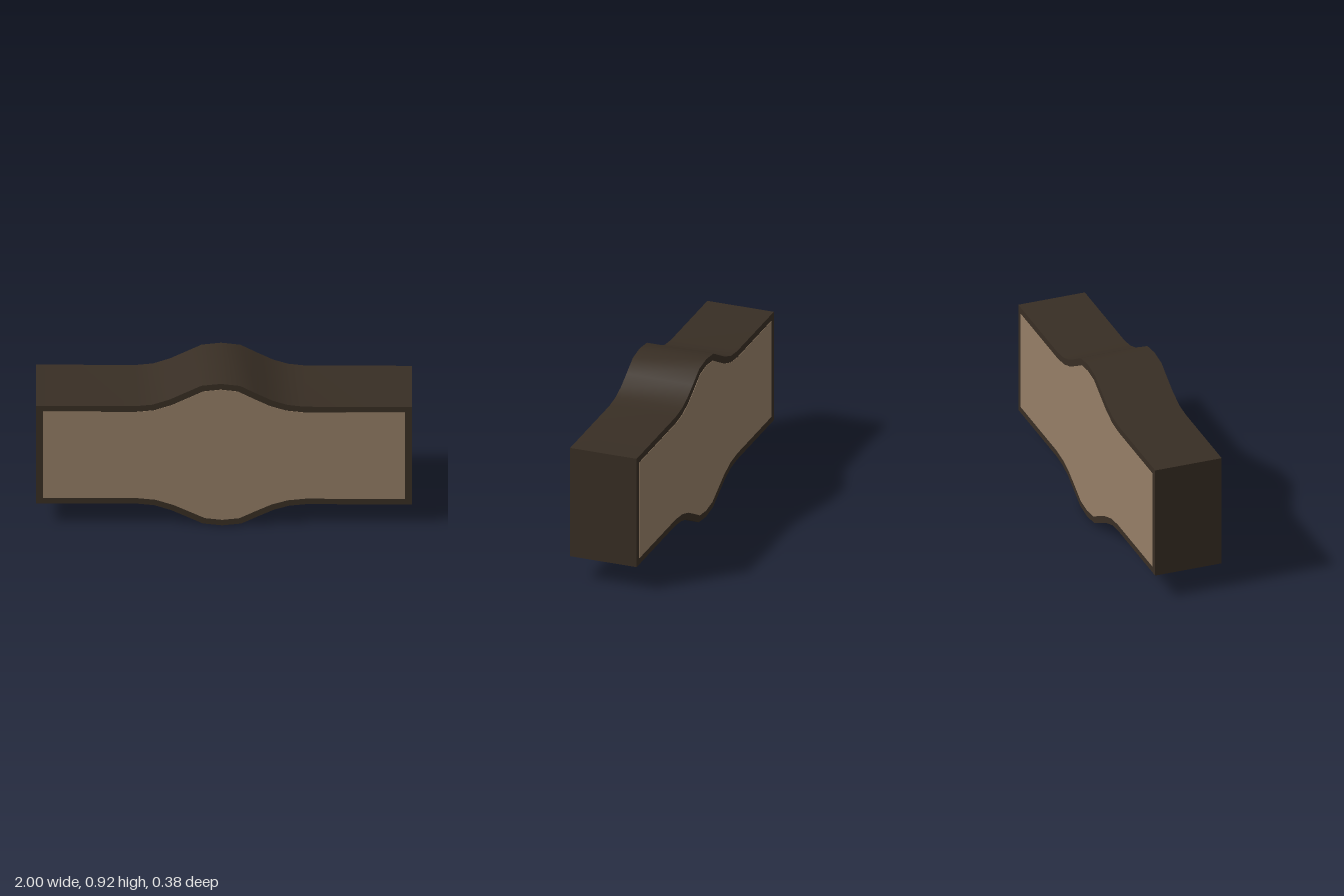
import * as THREE from 'three';
import { toCreasedNormals } from 'three/addons/utils/BufferGeometryUtils.js';

const DEPTH = 0.38, BORDER = 0.037, TOP = 0.775, BOTTOM = 0.14;

// Bulge in the middle of the long edges: x and rise
const BULGE = [
  [-0.47, 0], [-0.38, 0.01], [-0.29, 0.043], [-0.2, 0.091], [-0.12, 0.134], [-0.016, 0.147],
  [0.086, 0.134], [0.18, 0.081], [0.26, 0.038], [0.34, 0.011], [0.43, 0],
];

// Counter-clockwise outline of the body
function outline() {
  const lower = BULGE.map(([x, h]) => new THREE.Vector2(x + 0.008, BOTTOM - h * 0.14 / 0.147));
  const upper = BULGE.map(([x, h]) => new THREE.Vector2(x, TOP + h)).reverse();
  return [
    new THREE.Vector2(-1, BOTTOM), ...lower, new THREE.Vector2(1, BOTTOM),
    new THREE.Vector2(1, TOP), ...upper, new THREE.Vector2(-1, TOP),
  ];
}

// Moves every edge of the outline inwards by the same distance
function inset(points, distance) {
  const inward = (a, b) => new THREE.Vector2(a.y - b.y, b.x - a.x).normalize();
  return points.map((p, i) => {
    const n1 = inward(points[(i + points.length - 1) % points.length], p);
    const n2 = inward(p, points[(i + 1) % points.length]);
    return n1.clone().add(n2).multiplyScalar(distance / (1 + n1.dot(n2))).add(p);
  });
}

export function createModel() {
  const group = new THREE.Group();
  const darkBrown = new THREE.MeshStandardMaterial({ name: 'darkBrown', color: 0x382e24 });
  const tan = new THREE.MeshStandardMaterial({ name: 'tan', color: 0x957e66 });
  const points = outline();

  // Solid body with the dark edge
  const solid = new THREE.ExtrudeGeometry(new THREE.Shape(points), { depth: DEPTH, bevelEnabled: false });
  solid.translate(0, 0, -DEPTH / 2);
  const body = new THREE.Mesh(toCreasedNormals(solid, 0.6), darkBrown);
  body.name = 'body';
  group.add(body);

  // Tan face panels, front and back
  const face = new THREE.Shape(inset(points, BORDER));
  for (const [name, side] of [['frontPanel', 1], ['backPanel', -1]]) {
    const plate = new THREE.ExtrudeGeometry(face, { depth: 0.004, bevelEnabled: false });
    plate.translate(0, 0, side * DEPTH / 2 - 0.002);
    const panel = new THREE.Mesh(plate, tan);
    panel.name = name;
    group.add(panel);
  }
  return group;
}
